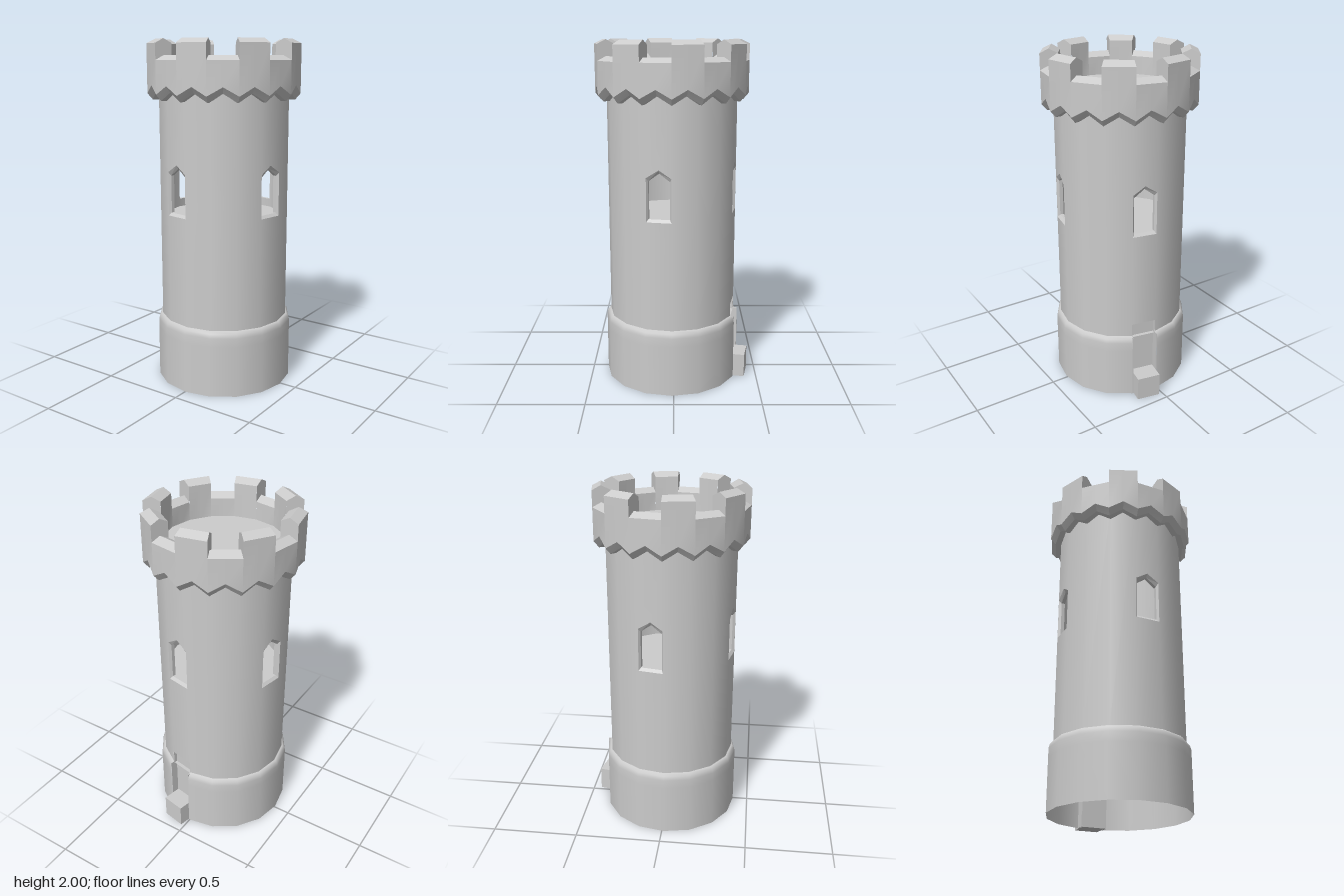
import * as THREE from 'three';
import { mergeGeometries, toCreasedNormals } from 'three/addons/utils/BufferGeometryUtils.js';

const SIDES = 16;
const STEP = (Math.PI * 2) / SIDES;
const HALF = STEP / 2;
const SHAFT_R = 0.375, INNER_R = 0.34, BASE_R = 0.4;
const WINDOW_SIDES = [3, 7, 11, 15];
const DOOR_SIDE = 7;
const SLOT_TOP = 0.465;

const grey = new THREE.MeshStandardMaterial({ color: 0xcccccc });
const greyDouble = new THREE.MeshStandardMaterial({ color: 0xcccccc, side: THREE.DoubleSide });

function mesh(name, geometry, material = grey) {
  const m = new THREE.Mesh(geometry, material);
  m.name = name;
  return m;
}

const sideAngle = (side) => (side + 0.5) * STEP;

// Collects quads (corners anticlockwise from the front) into one geometry
function quadBuilder() {
  const pos = [];
  return {
    quad(a, b, c, d) {
      for (const p of [a, b, c, a, c, d]) pos.push(...p);
    },
    build(crease) {
      const g = new THREE.BufferGeometry();
      g.setAttribute('position', new THREE.Float32BufferAttribute(pos, 3));
      g.computeVertexNormals();
      return crease ? toCreasedNormals(g, crease) : g;
    },
  };
}

// Pointed window outline, anticlockwise
function windowOutline(width, sill, shoulder, apex) {
  const h = width / 2;
  return [[-h, sill], [h, sill], [h, shoulder], [0, apex], [-h, shoulder]];
}
const outerOutline = windowOutline(0.142, 1.022, 1.27, 1.315);
const innerOutline = windowOutline(0.122, 1.038, 1.25, 1.295);

// One ring of flat wall panels, pierced at the window sides, with rounded shading
function wallRing(radius, y0, y1, outline, slot) {
  const apothem = radius * Math.cos(HALF);
  const h = radius * Math.sin(HALF);
  const panels = [];
  for (let s = 0; s < SIDES; s++) {
    const low = slot && s === DOOR_SIDE ? SLOT_TOP : y0;
    const shape = new THREE.Shape([[-h, low], [h, low], [h, y1], [-h, y1]].map((p) => new THREE.Vector2(...p)));
    if (WINDOW_SIDES.includes(s)) {
      shape.holes.push(new THREE.Path(outline.map((p) => new THREE.Vector2(...p))));
    }
    panels.push(new THREE.ShapeGeometry(shape).translate(0, 0, apothem).rotateY(sideAngle(s)));
  }
  const g = mergeGeometries(panels);
  const p = g.attributes.position, n = g.attributes.normal;
  for (let i = 0; i < p.count; i++) {
    const len = Math.hypot(p.getX(i), p.getZ(i));
    n.setXYZ(i, p.getX(i) / len, 0, p.getZ(i) / len);
  }
  return g;
}

// Bevelled lining of a window opening
function windowReveal() {
  const outerZ = SHAFT_R * Math.cos(HALF), innerZ = INNER_R * Math.cos(HALF);
  const loops = [
    outerOutline.map(([x, y]) => [x, y, outerZ]),
    innerOutline.map(([x, y]) => [x, y, outerZ - 0.014]),
    innerOutline.map(([x, y]) => [x, y, innerZ]),
  ];
  const q = quadBuilder();
  for (let l = 0; l < 2; l++) {
    for (let i = 0; i < 5; i++) {
      const j = (i + 1) % 5;
      q.quad(loops[l][i], loops[l][j], loops[l + 1][j], loops[l + 1][i]);
    }
  }
  return q.build();
}

// Crown cross-section at a column; odd columns are the middles of the sides
function crownSection(column, top) {
  const mid = Math.abs(column % 2) === 1;
  const k = mid ? Math.cos(HALF) : 1;
  const lift = mid ? 0.048 : 0;
  const a = column * HALF;
  return [
    [0.37, 1.665 + lift], [0.41, 1.665 + lift], [0.44, 1.7 + lift],
    [0.44, top - 0.025], [0.39, top], [0.34, top - 0.025], [0.338, 1.76],
  ].map(([r, y]) => [r * k * Math.sin(a), y, r * k * Math.cos(a)]);
}

// Battlement ring: zigzag lower edge, ridged merlons alternating with gaps
function crownGeometry() {
  const HIGH = 2, LOW = 1.91;
  const q = quadBuilder();
  for (let s = 0; s < SIDES; s++) {
    const merlon = s % 2 === 0;
    for (let c = 2 * s; c < 2 * s + 2; c++) {
      const a = crownSection(c, merlon ? HIGH : LOW);
      const b = crownSection(c + 1, merlon ? HIGH : LOW);
      for (let k = 0; k < 6; k++) q.quad(a[k], b[k], b[k + 1], a[k + 1]);
    }
    if (!merlon) continue;
    // merlon end walls
    for (const [c, start] of [[2 * s, true], [2 * s + 2, false]]) {
      const g = crownSection(c, LOW), m = crownSection(c, HIGH);
      for (const k of [3, 4]) {
        if (start) q.quad(g[k + 1], g[k], m[k], m[k + 1]);
        else q.quad(g[k], g[k + 1], m[k + 1], m[k]);
      }
    }
  }
  return q.build(0.5);
}

function disc(name, radius, y) {
  return mesh(name, new THREE.CircleGeometry(radius, SIDES).rotateX(-Math.PI / 2).translate(0, y, 0), greyDouble);
}

export function createModel() {
  const model = new THREE.Group();
  model.name = 'tower';
  const body = new THREE.Group();
  body.name = 'towerBody';
  body.position.z = 0.01;
  model.add(body);

  // Base skirt with a rounded shoulder, open at the doorway side
  const profile = [[0.4, 0], [0.4, 0.3], [0.4, 0.352], [0.394, 0.376], [0.382, 0.389], [0.36, 0.391]]
    .map((p) => new THREE.Vector2(...p));
  body.add(mesh('base', new THREE.LatheGeometry(profile, SIDES - 1, (DOOR_SIDE + 1) * STEP, STEP * (SIDES - 1)), greyDouble));

  // Shaft walls
  body.add(mesh('shaftOuterWall', wallRing(SHAFT_R, 0.37, 1.74, outerOutline, true), greyDouble));
  body.add(mesh('shaftInnerWall', wallRing(INNER_R, 0.37, 1.8, innerOutline, false), greyDouble));

  // Windows
  for (const s of WINDOW_SIDES) {
    const reveal = mesh('windowReveal', windowReveal(), greyDouble);
    reveal.rotation.y = sideAngle(s);
    body.add(reveal);
  }

  // Floors
  body.add(disc('lowerFloor', 0.374, 0.38));
  body.add(disc('middleFloor', 0.345, 0.99));
  body.add(disc('roofFloor', 0.345, 1.78));

  // Crown
  body.add(mesh('crown', crownGeometry()));

  // Doorway recess and step
  const doorway = new THREE.Group();
  doorway.name = 'doorway';
  doorway.rotation.y = sideAngle(DOOR_SIDE);
  const box = (name, w, h, d, x, y, z) => {
    const m = mesh(name, new THREE.BoxGeometry(w, h, d));
    m.position.set(x, y, z);
    doorway.add(m);
  };
  box('doorPanel', 0.146, SLOT_TOP, 0.008, 0, SLOT_TOP / 2, 0.342);
  box('lintel', 0.144, 0.006, 0.026, 0, SLOT_TOP + 0.002, 0.354);
  for (const side of [-1, 1]) {
    box('doorJamb', 0.006, 0.386, 0.05, side * 0.0745, 0.193, 0.366);
    box('upperJamb', 0.003, SLOT_TOP - 0.38, 0.026, side * 0.0715, (SLOT_TOP + 0.38) / 2, 0.354);
  }
  box('doorStep', 0.138, 0.14, 0.112, 0, 0.07, 0.402);
  body.add(doorway);

  return model;
}
